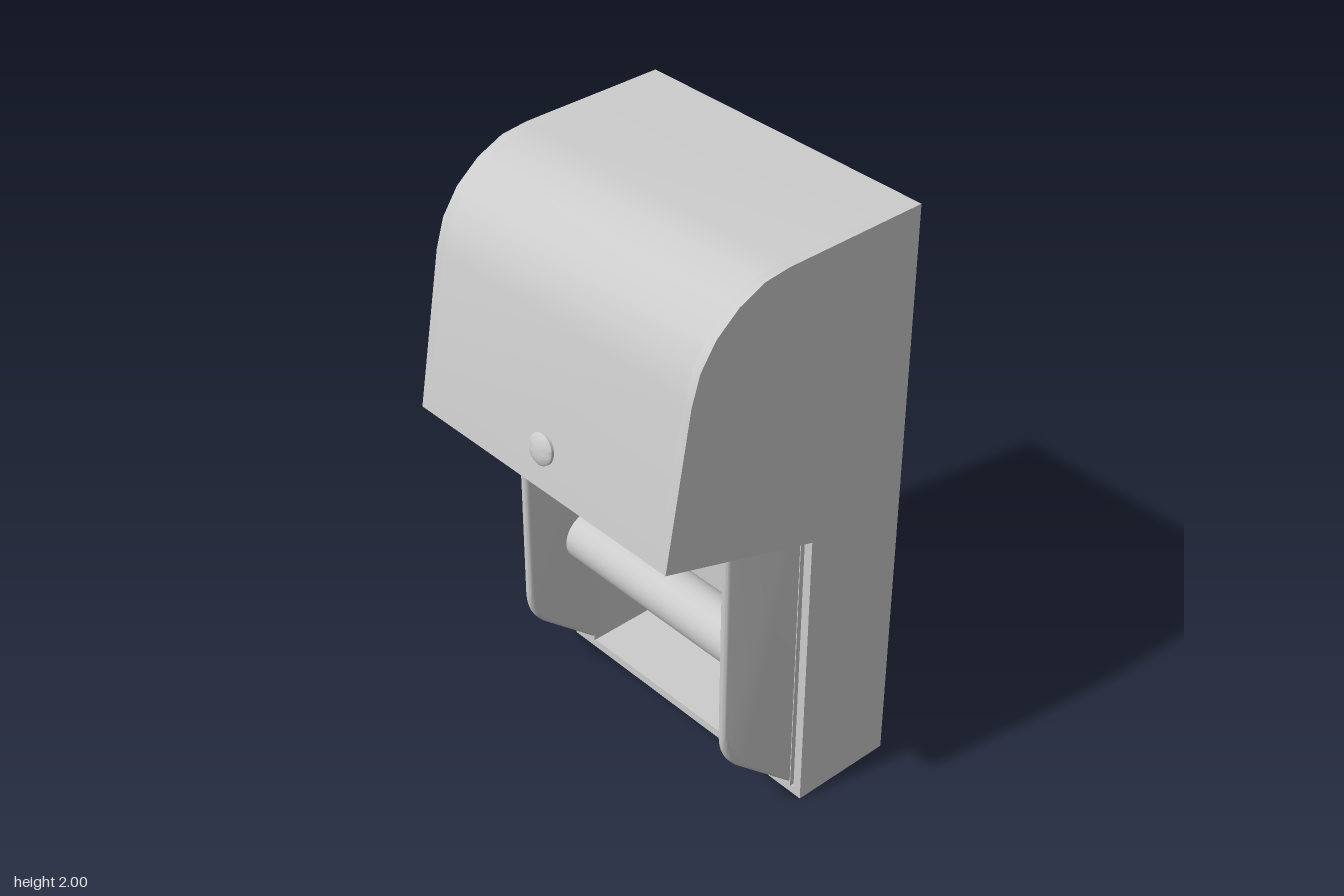
import * as THREE from 'three';
import { toCreasedNormals } from 'three/addons/utils/BufferGeometryUtils.js';

const HALF = 0.545; // half width of the housing
const WALL = 0.03;

export function createModel() {
  const group = new THREE.Group();
  const material = new THREE.MeshStandardMaterial({ color: 0xcccccc });

  const add = (name, geometry, x = 0, y = 0, z = 0) => {
    const mesh = new THREE.Mesh(geometry, material);
    mesh.name = name;
    mesh.position.set(x, y, z);
    group.add(mesh);
    return mesh;
  };
  const shapeOf = (points) => new THREE.Shape(points.map(([x, y]) => new THREE.Vector2(x, y)));
  const extrude = (shape, depth) => toCreasedNormals(
    new THREE.ExtrudeGeometry(shape, { depth, bevelEnabled: false }), 0.6);

  // Housing outline: hood lip, curved hood, back, bottom
  const outer = [[-0.465, 1.2], [-0.375, 1.71], [-0.345, 1.805], [-0.29, 1.885],
    [-0.21, 1.95], [-0.12, 1.99], [-0.03, 2], [0.47, 2], [0.47, 0], [0.105, 0]];
  const inner = [[0.105, 0.03], [0.44, 0.03], [0.44, 1.97], [-0.03, 1.97], [-0.11, 1.96],
    [-0.195, 1.923], [-0.268, 1.867], [-0.317, 1.797], [-0.345, 1.705], [-0.434, 1.19]];

  // Wrapped sheet, open under the hood and at the lower front
  add('housingShell', extrude(shapeOf([...outer, ...inner]), 2 * (HALF - WALL)), 0, 0, -(HALF - WALL));

  // Flat side panels
  const panel = extrude(shapeOf([...outer, [0.105, 1.02]]), WALL);
  add('leftSidePanel', panel, 0, 0, HALF - WALL);
  add('rightSidePanel', panel, 0, 0, -HALF);

  // Roll holder cheek with rounded rim; outer face tapers towards the open side
  const cheekShape = new THREE.Shape();
  cheekShape.moveTo(0.13, 1.3);
  cheekShape.lineTo(-0.165, 1.3);
  cheekShape.lineTo(-0.165, 0.37);
  cheekShape.quadraticCurveTo(-0.165, 0.27, -0.09, 0.21);
  cheekShape.lineTo(0.13, 0.018);
  cheekShape.closePath();

  const cheekGeometry = (side) => {
    const g = new THREE.ExtrudeGeometry(cheekShape, {
      depth: 0.037, bevelThickness: 0.012, bevelSize: 0.015, bevelOffset: -0.015,
      bevelSegments: 4, curveSegments: 10,
    });
    g.translate(0, 0, -0.0185);
    const p = g.attributes.position;
    for (let i = 0; i < p.count; i++) {
      if (p.getZ(i) * side > 0) p.setZ(i, p.getZ(i) - side * 0.1 * (0.13 - p.getX(i)));
    }
    return toCreasedNormals(g, 0.6);
  };

  for (const side of [1, -1]) {
    const label = side > 0 ? 'left' : 'right';
    add(label + 'Cheek', cheekGeometry(side), 0, 0, side * 0.4745);
    // Inner liner carrying the cheek to the back wall
    add(label + 'Liner', new THREE.BoxGeometry(0.34, 1.27, 0.061), 0.27, 0.665, side * 0.4745);
  }

  // Roller between the cheeks
  const roller = new THREE.CylinderGeometry(0.09, 0.09, 0.9, 40);
  roller.rotateX(Math.PI / 2);
  add('roller', roller, 0.08, 0.5, 0);

  // Domed lock button on the sloping hood front
  const buttonProfile = [[0.05, -0.01], [0.05, 0.01], [0.042, 0.017], [0.024, 0.022], [0, 0.024]]
    .map(([x, y]) => new THREE.Vector2(x, y));
  const button = add('lockButton', toCreasedNormals(new THREE.LatheGeometry(buttonProfile, 32), 0.6),
    -0.442, 1.325, 0);
  button.rotation.z = THREE.MathUtils.degToRad(80);

  return group;
}
